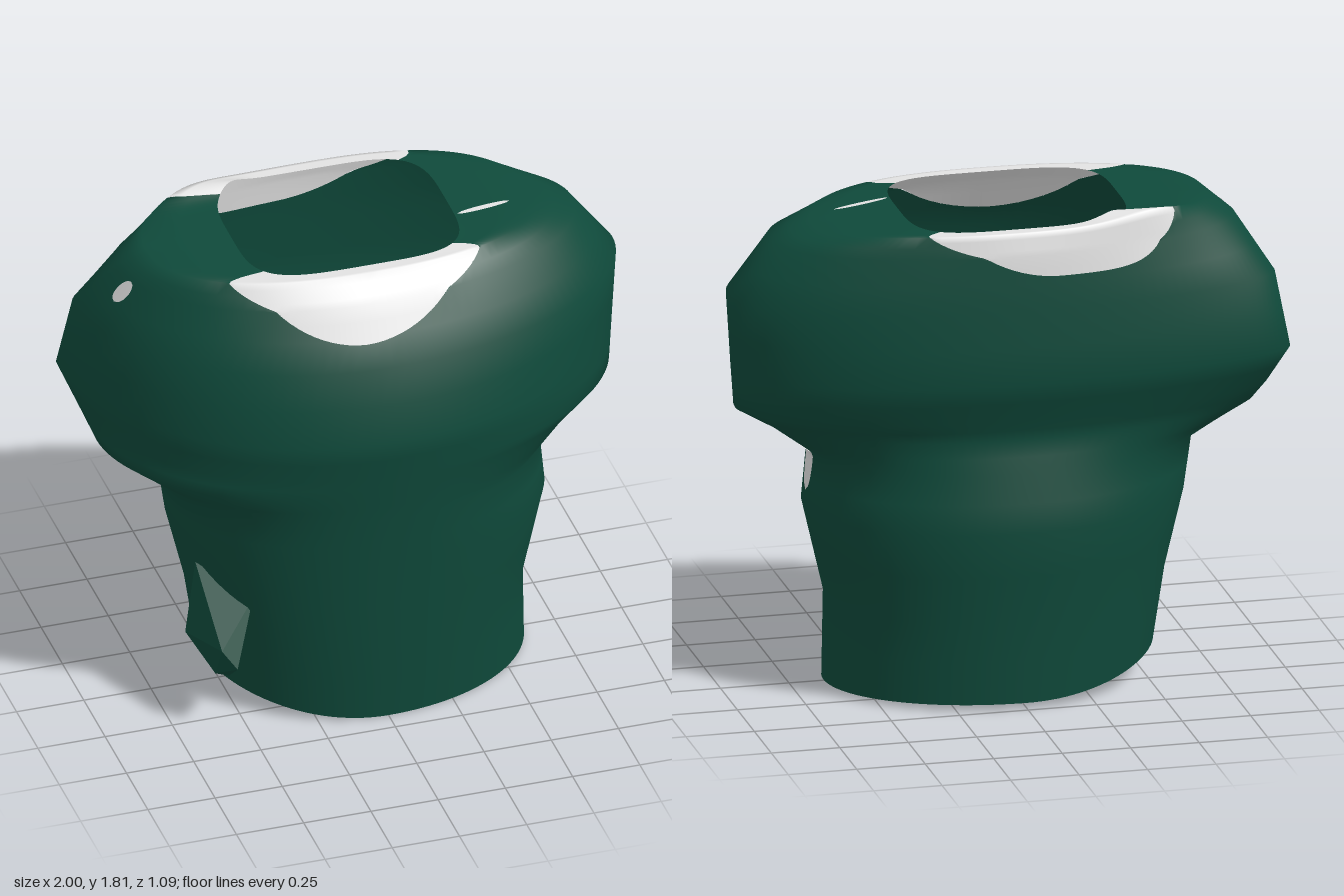
import * as THREE from 'three';
import { ConvexGeometry } from 'three/addons/geometries/ConvexGeometry.js';

// Cross-sections from hem to neckline:
// height, right x, left x, front z, back z, side z, side z skew, corner power
const RINGS = [
  [0.02, 0.56, 0.63, 0.42, -0.485, -0.03, 0, 1],
  [0.33, 0.60, 0.62, 0.45, -0.50, -0.03, 0, 0.95],
  [0.67, 0.67, 0.70, 0.48, -0.53, -0.03, 0, 0.95],
  [0.88, 0.70, 0.68, 0.50, -0.49, -0.04, 0, 0.95],
  [1.00, 0.91, 0.84, 0.515, -0.465, -0.10, 0.03, 1.05],
  [1.08, 0.94, 0.97, 0.525, -0.49, -0.16, 0.06, 1.08],
  [1.23, 1.00, 0.985, 0.545, -0.545, -0.22, 0.10, 1.1],
  [1.50, 0.955, 1.00, 0.47, -0.53, -0.19, 0.08, 1.05],
  [1.70, 0.83, 0.85, 0.35, -0.51, -0.14, 0.03, 1],
  [1.78, 0.73, 0.69, 0.27, -0.49, -0.12, 0, 0.85],
  [1.78, 0.42, 0.38, 0.22, -0.44, -0.10, 0, 0.5],
];
const TOP = RINGS.length - 1;
const COLS = 120;
const rad = Math.PI / 180;

function ringPoint(i, deg) {
  const [y, xr, xl, zf, zb, zs, skew, e] = RINGS[i];
  const c = Math.cos(deg * rad), s = Math.sin(deg * rad);
  const ex = Math.min(e, 1);
  const x = Math.sign(c) * (c > 0 ? xl : xr) * Math.abs(c) ** ex;
  const side = zs + skew * c;
  const z = side + ((s > 0 ? zf : zb) - side) * Math.abs(s) ** e;
  // hem rises toward the right side and slightly at the back
  const low = Math.max(0, 1 - y / 0.7);
  let h = y + low * (0.33 * Math.max(0, -x) ** 2 - 0.025 * (z - 0.1) - 0.01);
  // collar stands up at the right rear, left shoulder slopes a little
  if (i >= 9) h += 0.03 * Math.exp(-(((deg - 232) / 18) ** 2));
  if (i === 9) h -= 0.02 * Math.max(0, c) ** 3;
  return new THREE.Vector3(x, h, z);
}

// Point on the shirt: v runs over the rings, deg around the body
function surface(v, deg) {
  const i = Math.min(Math.floor(v), TOP - 1);
  return ringPoint(i, deg).lerp(ringPoint(i + 1, deg), v - i);
}

// Edge where the green cloth meets the pale collar
function collarEdge(deg) {
  const front = 7.4 + 2.6 * (Math.abs(deg - 95) / 48) ** 1.9;
  const d = (deg - 262) / 45;
  const back = 7.6 + 2.4 * Math.abs(d) ** (d < 0 ? 4 : 2);
  return Math.min(TOP, front, back);
}

// Grid over a range of angles; point(row, deg) gives each corner
function sheet(rows, cols, from, to, point) {
  const closed = to - from === 360;
  const n = closed ? cols : cols + 1;
  const pos = [], index = [];
  for (let r = 0; r <= rows; r++)
    for (let c = 0; c < n; c++) pos.push(...point(r, from + ((to - from) * c) / cols).toArray());
  const at = (k) => new THREE.Vector3().fromArray(pos, k * 3);
  const tri = (a, b, c) => {
    const area = at(b).sub(at(a)).cross(at(c).sub(at(a))).length();
    if (area > 1e-8) index.push(a, b, c);
  };
  for (let r = 0; r < rows; r++)
    for (let c = 0; c < cols; c++) {
      const a = r * n + c, b = r * n + ((c + 1) % n);
      tri(a, a + n, b);
      tri(b, a + n, b + n);
    }
  const g = new THREE.BufferGeometry();
  g.setAttribute('position', new THREE.Float32BufferAttribute(pos, 3));
  g.setIndex(index);
  g.computeVertexNormals();
  return g;
}

// Small oval of pale cloth lying just above the surface
function patch(deg, halfDeg, v0, v1) {
  const centre = new THREE.Vector3(0, 0.9, -0.05);
  return sheet(12, 8, -1, 1, (r, s) => {
    const k = r / 12;
    const w = Math.sqrt(Math.max(0, 1 - (2 * k - 1) ** 2));
    const a = (deg + s * halfDeg * w + 360) % 360;
    return surface(v0 + (v1 - v0) * k, a).sub(centre).multiplyScalar(1.007).add(centre);
  });
}

export function createModel() {
  const green = new THREE.MeshStandardMaterial({ color: 0x0f4a3b, side: THREE.DoubleSide });
  green.name = 'dark green cloth';
  const white = new THREE.MeshStandardMaterial({ color: 0xe2e2e2, side: THREE.DoubleSide });
  white.name = 'pale cloth';
  const group = new THREE.Group();
  group.name = 'shirt';
  const add = (name, geometry, material) => {
    const m = new THREE.Mesh(geometry, material);
    m.name = name;
    group.add(m);
  };

  // Body with both short sleeves, open at hem and neck
  add('shirtBody', sheet(TOP * 2, COLS, 0, 360,
    (r, deg) => surface(Math.min(r / 2, collarEdge(deg)), deg)), green);

  // Front and back collar insets
  const inset = (r, deg) => {
    const e = collarEdge(deg);
    return surface(Math.max(e, 7 + r / 4), deg);
  };
  add('frontCollar', sheet(12, 48, 46, 144, inset), white);
  add('backCollar', sheet(12, 48, 216, 308, inset), white);

  // Pale marks at the left underarm and on the shoulders
  add('underarmMark', patch(0, 5, 2.3, 3.4), white);
  add('rightShoulderMark', patch(166, 3, 7.55, 8.0), white);
  add('leftShoulderMark', patch(6, 1.5, 9.3, 9.98), white);

  // Crumpled cloth at the right side of the hem
  const fold = [[-0.68, 0.34, 0.18], [-0.55, 0.28, 0.385], [-0.60, 0.35, 0.36], [-0.63, 0.6, 0.14],
    [-0.60, 0.21, 0.28], [-0.53, 0.15, 0.22], [-0.46, 0.5, 0.28]];
  add('hemFold', new ConvexGeometry(fold.map((p) => new THREE.Vector3(...p))), green);

  return group;
}
